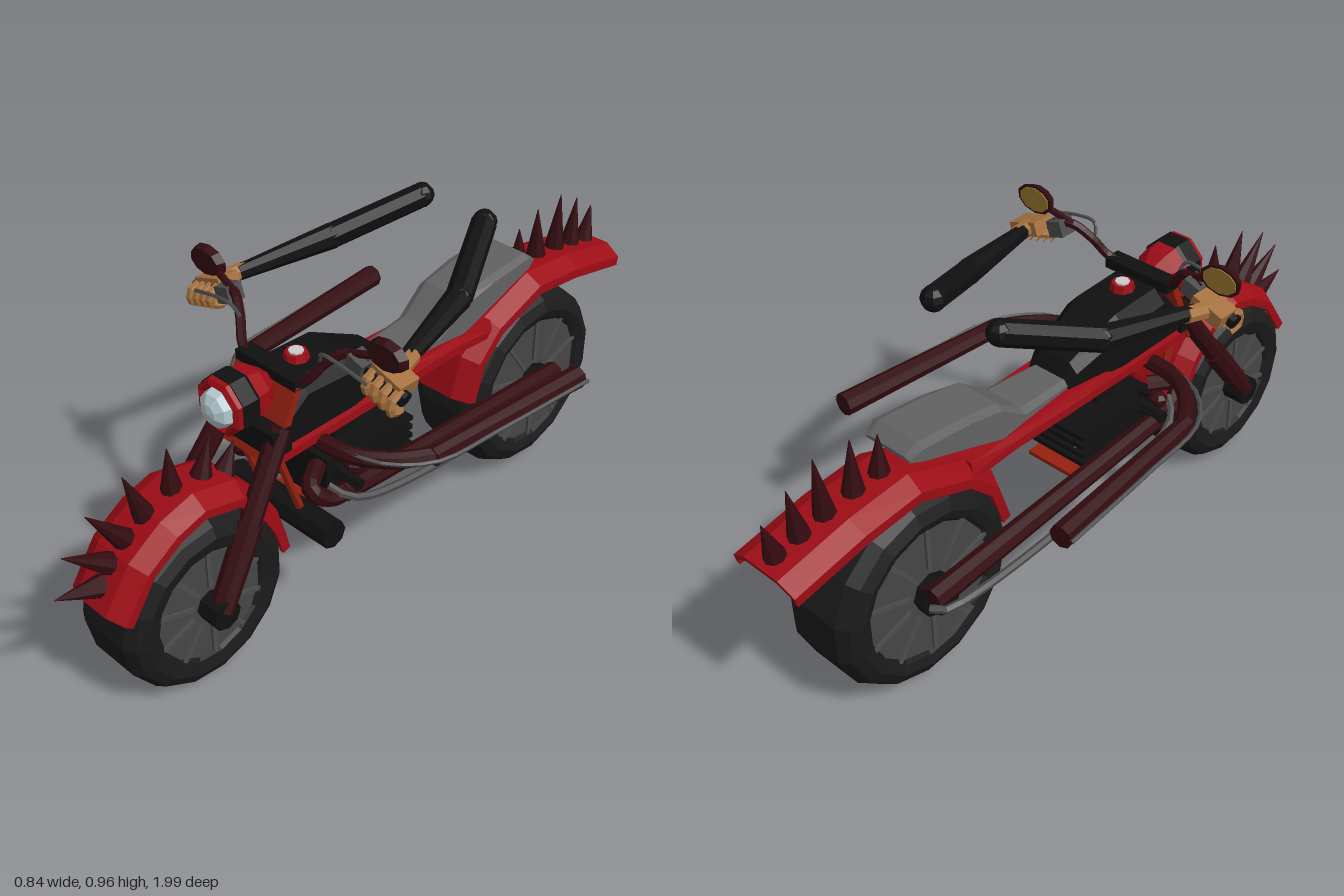
import * as THREE from 'three';

const V = (x, y, z) => new THREE.Vector3(x, y, z);
const mat = (color, side = THREE.FrontSide) => new THREE.MeshStandardMaterial({ color, flatShading: true, side });
const M = {
  red: mat(0x9c0c15), darkRed: mat(0x330b10), orange: mat(0x96200f), black: mat(0x101010),
  tyre: mat(0x1a1a1a), disc: mat(0x464646), seat: mat(0x626262), steel: mat(0x4c4c4c),
  skin: mat(0xa5713f), lens: mat(0xb4cace), glass: mat(0x9a7830), white: mat(0xd8d8d8),
};

export function createModel() {
  const model = new THREE.Group();

  const add = (name, geo, m, pos) => {
    const mesh = new THREE.Mesh(geo, m);
    mesh.name = name;
    if (pos) mesh.position.copy(pos);
    model.add(mesh);
    return mesh;
  };
  const box = (name, m, w, h, d, x, y, z) => add(name, new THREE.BoxGeometry(w, h, d), m, V(x, y, z));
  // tapered bar from a to b
  const rod = (name, m, a, b, ra, rb = ra, sides = 8) => {
    const dir = b.clone().sub(a);
    const mesh = add(name, new THREE.CylinderGeometry(rb, ra, dir.length(), sides), m, a.clone().add(b).multiplyScalar(0.5));
    mesh.quaternion.setFromUnitVectors(V(0, 1, 0), dir.normalize());
    return mesh;
  };
  // bent pipe through points
  const pipe = (name, m, pts, r, sides = 6, steps = 16) =>
    add(name, new THREE.TubeGeometry(new THREE.CatmullRomCurve3(pts, false, 'centripetal'), steps, r, sides), m);
  // skin over rings running front to back, closed at both ends
  const loft = (name, m, rings) => {
    const out = [];
    const quad = (a, b, c, d) => [a, b, c, a, c, d].forEach(p => out.push(p.x, p.y, p.z));
    const n = rings[0].length;
    for (let k = 0; k < rings.length - 1; k++)
      for (let i = 0; i < n; i++) {
        const j = (i + 1) % n;
        quad(rings[k][i], rings[k][j], rings[k + 1][j], rings[k + 1][i]);
      }
    const s = rings[0], e = rings[rings.length - 1];
    for (let i = 0; i < n / 2 - 1; i++) {
      quad(s[n - 1 - i], s[n - 2 - i], s[i + 1], s[i]);
      quad(e[i], e[i + 1], e[n - 2 - i], e[n - 1 - i]);
    }
    const g = new THREE.BufferGeometry();
    g.setAttribute('position', new THREE.Float32BufferAttribute(out, 3));
    g.computeVertexNormals();
    return add(name, g, m);
  };
  // body section: z, bottom, shoulder, top, half width
  const hull = (name, m, rows, flat) => loft(name, m, rows.map(([z, yb, ys, yt, w]) => [
    V(-w, yb, z), V(-w, ys, z), V(-w * flat, yt, z), V(w * flat, yt, z), V(w, ys, z), V(w, yb, z)]));

  // wheels
  const wheel = (name, y, z, r, rim, w, hubR, hubW) => {
    const prof = [[rim * 0.9, -w * 0.8], [rim, -w * 0.93], [r * 0.82, -w], [r * 0.93, -w * 0.88], [r, -w * 0.62], [r, w * 0.62],
      [r * 0.93, w * 0.88], [r * 0.82, w], [rim, w * 0.93], [rim * 0.9, w * 0.8]].map(p => new THREE.Vector2(...p));
    add(name + 'Tyre', new THREE.LatheGeometry(prof, 15).rotateZ(Math.PI / 2), M.tyre, V(0, y, z));
    add(name + 'Disc', new THREE.CylinderGeometry(rim, rim, w * 1.72, 15).rotateZ(Math.PI / 2), M.disc, V(0, y, z));
    add(name + 'Hub', new THREE.CylinderGeometry(hubR, hubR, hubW * 2, 8).rotateZ(Math.PI / 2), M.black, V(0, y, z));
    for (let i = 0; i < 10; i++) {
      const a = i * Math.PI / 5, rr = rim * 0.66;
      const spoke = box(name + 'Spoke', M.steel, w * 1.84, rim * 0.62, 0.012, 0, y + Math.cos(a) * rr, z + Math.sin(a) * rr);
      spoke.rotation.x = a;
    }
  };
  wheel('front', 0.252, 0.638, 0.249, 0.168, 0.117, 0.042, 0.165);
  wheel('rear', 0.305, -0.6, 0.28, 0.205, 0.122, 0.055, 0.14);

  // fenders: bevelled channel swept along a side-view path
  const fender = (name, path, w, d) => loft(name, M.red, path.map(([z, y], i) => {
    const a = path[Math.max(i - 1, 0)], b = path[Math.min(i + 1, path.length - 1)];
    const l = Math.hypot(b[0] - a[0], b[1] - a[1]), nz = (b[1] - a[1]) / l, ny = -(b[0] - a[0]) / l;
    const half = [[w, -d], [w, -0.028], [w * 0.55, 0]], inner = [[w * 0.5, -0.014], [w - 0.012, -0.036], [w - 0.012, -d]];
    return [...half.map(([x, o]) => [-x, o]), ...half.slice().reverse(),
      ...inner.slice().reverse(), ...inner.map(([x, o]) => [-x, o])]
      .map(([x, o]) => V(x, y + ny * o, z + nz * o));
  }));
  fender('frontFender', [[0.91, 0.36], [0.83, 0.475], [0.73, 0.54], [0.63, 0.568], [0.5, 0.535], [0.42, 0.45], [0.37, 0.36], [0.345, 0.275]], 0.103, 0.052);
  fender('rearFender', [[-0.29, 0.37], [-0.33, 0.49], [-0.42, 0.58], [-0.6, 0.647], [-0.78, 0.63], [-0.99, 0.587]], 0.107, 0.055);

  // spikes: base z, y then tip z, y
  [[0.87, 0.4, 1, 0.44], [0.84, 0.45, 0.965, 0.545], [0.79, 0.49, 0.89, 0.62], [0.73, 0.525, 0.78, 0.67],
    [0.645, 0.55, 0.65, 0.68], [0.56, 0.54, 0.525, 0.645], [0.49, 0.515, 0.45, 0.595],
    [-0.635, 0.63, -0.63, 0.75], [-0.715, 0.625, -0.71, 0.782], [-0.8, 0.615, -0.815, 0.79],
    [-0.875, 0.6, -0.895, 0.75], [-0.945, 0.585, -0.97, 0.7]]
    .forEach(([bz, by, tz, ty]) => rod('spike', M.darkRed, V(0, by, bz), V(0, ty, tz), 0.031, 0.001));

  // frame, tank and seat
  hull('frameBeam', M.red, [[0.4, 0.54, 0.565, 0.59, 0.1], [0, 0.545, 0.57, 0.595, 0.1], [-0.28, 0.545, 0.57, 0.59, 0.095], [-0.42, 0.53, 0.55, 0.58, 0.09]], 0.9);
  hull('tank', M.black, [[0.395, 0.585, 0.595, 0.61, 0.1], [0.35, 0.585, 0.655, 0.675, 0.1], [0.29, 0.585, 0.7, 0.735, 0.1],
    [0.13, 0.585, 0.69, 0.73, 0.1], [-0.03, 0.585, 0.63, 0.655, 0.075], [-0.055, 0.585, 0.595, 0.605, 0.07]], 0.65);
  hull('seat', M.seat, [[0.01, 0.585, 0.598, 0.61, 0.06], [-0.22, 0.58, 0.61, 0.622, 0.075], [-0.31, 0.59, 0.675, 0.69, 0.083],
    [-0.42, 0.63, 0.7, 0.71, 0.085], [-0.57, 0.68, 0.715, 0.725, 0.085], [-0.605, 0.69, 0.695, 0.7, 0.075]], 0.75);
  const plate = box('neckPlate', M.orange, 0.21, 0.215, 0.02, 0, 0.64, 0.368);
  plate.rotation.x = -0.4;
  box('forkClamp', M.black, 0.22, 0.07, 0.06, 0, 0.61, 0.39);
  box('handlebarClamp', M.black, 0.21, 0.03, 0.05, 0, 0.745, 0.315);
  add('gaugeRim', new THREE.CylinderGeometry(0.03, 0.035, 0.02, 8), M.red, V(0, 0.742, 0.235));
  add('gaugeFace', new THREE.CylinderGeometry(0.02, 0.02, 0.006, 8), M.white, V(0, 0.754, 0.235));

  // headlight
  const ring = (name, m, prof) => add(name, new THREE.LatheGeometry(prof.map(p => new THREE.Vector2(...p)), 8).rotateX(Math.PI / 2).rotateZ(Math.PI / 8), m, V(0, 0.713, 0));
  ring('headlightShell', M.red, [[0.001, 0.335], [0.04, 0.345], [0.067, 0.38], [0.076, 0.425]]);
  ring('headlightBand', M.black, [[0.076, 0.42], [0.082, 0.43], [0.082, 0.475], [0.076, 0.478]]);
  ring('headlightBezel', M.red, [[0.08, 0.474], [0.078, 0.488], [0.064, 0.496], [0.05, 0.48]]);
  ring('headlightLens', M.lens, [[0.054, 0.486], [0.046, 0.508], [0.024, 0.522], [0.001, 0.526]]);

  // engine block and cooling fins
  box('engineBlock', M.black, 0.2, 0.14, 0.2, 0, 0.395, 0.135);
  for (let i = 0; i < 4; i++) box('engineFin', M.black, 0.25, 0.013, 0.23, 0, 0.375 + i * 0.028, 0.055);
  box('engineNeck', M.black, 0.1, 0.09, 0.08, 0, 0.505, 0.12);
  box('bellyPlate', M.orange, 0.16, 0.012, 0.31, 0, 0.305, 0.105);
  rod('crossCylinder', M.black, V(-0.185, 0.308, 0.295), V(0.185, 0.308, 0.295), 0.04);

  for (const s of [1, -1]) {
    const P = (x, y, z) => V(s * x, y, z);
    // front fork and down tubes
    rod('forkLeg', M.darkRed, P(0.142, 0.255, 0.638), P(0.115, 0.44, 0.51), 0.032, 0.036);
    rod('forkTube', M.darkRed, P(0.115, 0.44, 0.51), P(0.088, 0.64, 0.375), 0.029);
    rod('downTube', M.orange, P(0.07, 0.56, 0.38), P(0.07, 0.33, 0.3), 0.012, 0.012, 6);
    rod('lowerRail', M.orange, P(0.075, 0.43, 0.21), P(0.085, 0.4, -0.05), 0.012, 0.012, 6);

    // raised side pipes sweeping outward
    pipe('sidePipeBend', M.darkRed, [P(0.08, 0.535, 0.25), P(0.19, 0.532, 0.235), P(0.27, 0.53, 0.18), P(0.34, 0.53, 0.08)], 0.023, 8);
    rod('sidePipeMuffler', M.darkRed, P(0.333, 0.53, 0.1), P(0.378, 0.53, -0.43), 0.026, 0.032);
    pipe('sidePipeTrim', M.steel, [P(0.18, 0.545, 0.25), P(0.28, 0.54, 0.21), P(0.36, 0.535, 0.11), P(0.385, 0.533, -0.1), P(0.412, 0.533, -0.43)], 0.006, 5);

    // low exhausts running back to the rear hub
    pipe('exhaustHeader', M.darkRed, [P(0.08, 0.45, 0.25), P(0.13, 0.44, 0.32), P(0.15, 0.4, 0.28), P(0.155, 0.39, 0.2)], 0.024, 8);
    rod('exhaust', M.darkRed, P(0.155, 0.392, 0.23), P(0.155, 0.335, -0.64), 0.026, 0.032);
    rod('rearAxleCap', M.black, P(0.11, 0.305, -0.6), P(0.17, 0.305, -0.6), 0.05, 0.035);
    pipe('exhaustTrim', M.steel, [P(0.14, 0.43, 0.27), P(0.18, 0.4, 0.24), P(0.203, 0.375, 0.16), P(0.203, 0.333, -0.64), P(0.17, 0.33, -0.66)], 0.011, 6, 24);

    // foot pegs and controls
    rod('pegArm', M.black, P(0.08, 0.42, 0.2), P(0.185, 0.415, 0.2), 0.018, 0.018, 6);
    rod('signalArm', M.black, P(0.08, 0.46, 0.2), P(0.15, 0.47, 0.2), 0.009, 0.009, 5);
    const pod = add('signalPod', new THREE.SphereGeometry(0.026, 7, 5), M.darkRed, P(0.162, 0.47, 0.2));
    pod.scale.set(1.1, 0.8, 1);

    // handlebar, grip, lever and mirror
    pipe('handlebar', M.darkRed, [P(0.06, 0.745, 0.32), P(0.11, 0.755, 0.31), P(0.15, 0.81, 0.28), P(0.195, 0.845, 0.255), P(0.25, 0.833, 0.24)], 0.013, 6);
    rod('grip', M.black, P(0.21, 0.838, 0.245), P(0.365, 0.785, 0.235), 0.017, 0.02);
    const clutch = box('controlBox', M.steel, 0.05, 0.045, 0.05, s * 0.228, 0.828, 0.245);
    clutch.rotation.z = -s * 0.33;
    pipe('lever', M.steel, [P(0.14, 0.815, 0.29), P(0.155, 0.845, 0.3), P(0.21, 0.845, 0.3), P(0.3, 0.825, 0.295)], 0.005, 5);
    rod('mirrorStem', M.darkRed, P(0.19, 0.845, 0.255), P(0.29, 0.875, 0.24), 0.01, 0.01, 6);
    const shell = add('mirrorShell', new THREE.CylinderGeometry(0.05, 0.06, 0.022, 10).rotateX(Math.PI / 2), M.darkRed, P(0.31, 0.885, 0.243));
    shell.scale.set(1.03, 0.68, 1);
    const glass = add('mirrorGlass', new THREE.CylinderGeometry(0.05, 0.05, 0.004, 10).rotateX(Math.PI / 2), M.glass, P(0.31, 0.885, 0.231));
    glass.scale.set(1.03, 0.68, 1);

    // hand wrapped around the grip
    const palm = box('palm', M.skin, 0.095, 0.04, 0.065, s * 0.307, 0.815, 0.215);
    palm.rotation.z = -s * 0.33;
    for (let i = 0; i < 4; i++) {
      const x = 0.272 + i * 0.026, y = 0.806 - i * 0.008;
      pipe('finger', M.skin, [P(x, y + 0.022, 0.235), P(x, y + 0.008, 0.27), P(x, y - 0.022, 0.268), P(x - 0.004, y - 0.032, 0.235)], 0.0125, 6, 6);
    }
    rod('thumb', M.skin, P(0.272, 0.81, 0.2), P(0.255, 0.79, 0.245), 0.013, 0.01, 6);
    rod('wrist', M.skin, P(0.303, 0.816, 0.2), P(0.288, 0.825, 0.13), 0.024, 0.022);

    // sleeved arm
    rod('forearmSleeve', M.black, P(0.29, 0.823, 0.16), P(0.222, 0.85, -0.11), 0.021, 0.035);
    add('elbow', new THREE.SphereGeometry(0.035, 8, 6), M.black, P(0.222, 0.85, -0.11));
    rod('upperArmSleeve', M.black, P(0.222, 0.85, -0.11), P(0.108, 0.928, -0.335), 0.035, 0.034);
    add('shoulder', new THREE.SphereGeometry(0.034, 8, 6), M.black, P(0.108, 0.928, -0.335));
  }

  return model;
}
